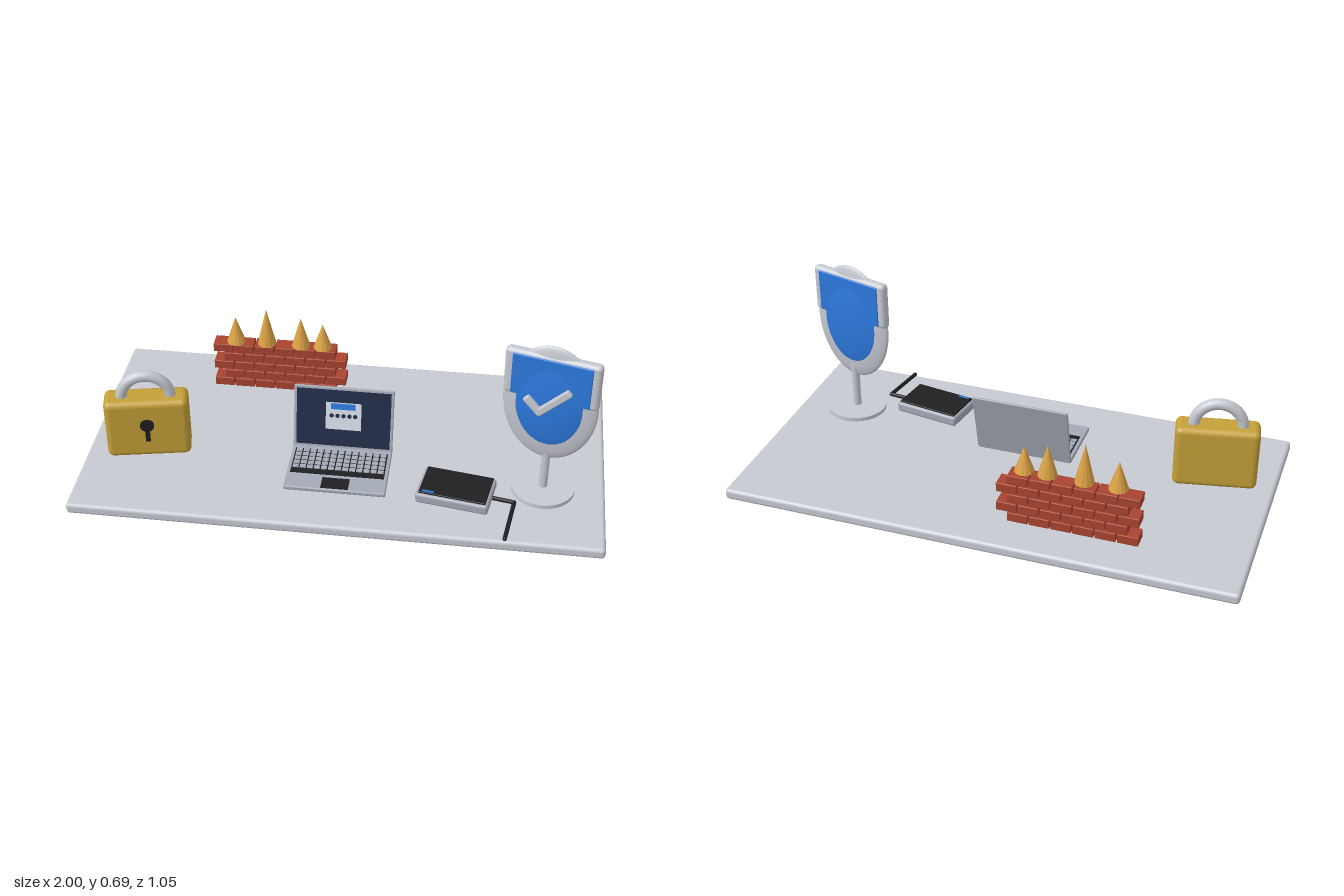
import * as THREE from 'three';
import { RoundedBoxGeometry } from 'three/addons/geometries/RoundedBoxGeometry.js';

const mat = (name, color, flatShading = false) => {
  const m = new THREE.MeshStandardMaterial({ color, flatShading });
  m.name = name;
  return m;
};

export function createModel() {
  const silver = mat('silver', 0xc6c9d1);
  const laptopGrey = mat('laptopGrey', 0xa3a9b6);
  const gold = mat('gold', 0xc5a038);
  const amber = mat('amber', 0xdba244, true);
  const brickRed = mat('brickRed', 0xa8432f);
  const black = mat('black', 0x1f1f21);
  const navy = mat('navy', 0x222c48);
  const blue = mat('blue', 0x2c78dc);
  const white = mat('paleWhite', 0xd3dbe6);

  const model = new THREE.Group();
  const group = (name, x, y, z, ry = 0) => {
    const g = new THREE.Group();
    g.name = name;
    g.position.set(x, y, z);
    g.rotation.y = ry;
    model.add(g);
    return g;
  };
  const add = (parent, name, geo, material, x = 0, y = 0, z = 0) => {
    const m = new THREE.Mesh(geo, material);
    m.name = name;
    m.position.set(x, y, z);
    parent.add(m);
    return m;
  };
  const box = (w, h, d) => new THREE.BoxGeometry(w, h, d);
  const round = (w, h, d, r) => new RoundedBoxGeometry(w, h, d, 3, r);
  const top = 0.045;

  // Base slab
  add(model, 'baseBoard', round(2, top, 1.05, 0.015), silver, 0, top / 2, 0);

  // Padlock
  const lock = group('padlock', -0.763, top, 0.147, 0.2);
  add(lock, 'lockBody', round(0.322, 0.255, 0.115, 0.024), gold, 0, 0.1275, 0);
  add(lock, 'shackle', new THREE.TorusGeometry(0.093, 0.022, 16, 32, Math.PI), silver, 0, 0.25, 0);
  const hole = add(lock, 'keyholeDisc', new THREE.CylinderGeometry(0.027, 0.027, 0.009, 24), black, 0, 0.152, 0.059);
  hole.rotation.x = Math.PI / 2;
  add(lock, 'keyholeSlot', box(0.018, 0.065, 0.009), black, 0, 0.11, 0.059);

  // Brick wall in running bond, without half bricks at the ends
  const wall = group('brickWall', -0.595, top, -0.334);
  const brick = round(0.08, 0.037, 0.066, 0.003);
  for (let row = 0; row < 5; row++) {
    for (let i = 0; i < 6; i++) {
      add(wall, 'brick', brick, brickRed, 0.04 + i * 0.0845 + (row % 2) * 0.0425, 0.0195 + row * 0.0413, 0);
    }
  }
  // Spikes on the wall
  for (const [x, h] of [[-0.503, 0.115], [-0.376, 0.162], [-0.236, 0.13], [-0.147, 0.108]]) {
    add(model, 'spike', new THREE.ConeGeometry(0.038, h, 12), amber, x, 0.255 + h / 2, -0.325);
  }

  // Laptop base
  const laptop = group('laptop', -0.013, top, 0);
  add(laptop, 'laptopBase', round(0.388, 0.018, 0.262, 0.006), laptopGrey, 0, 0.009, 0.204);
  add(laptop, 'keyboardPanel', box(0.36, 0.003, 0.15), black, 0, 0.0185, 0.174);
  const key = box(0.0225, 0.004, 0.019);
  for (let r = 0; r < 5; r++) {
    for (let c = 0; c < 13; c++) {
      add(laptop, 'key', key, laptopGrey, (c - 6) * 0.0273, 0.021, 0.112 + r * 0.0248);
    }
  }
  add(laptop, 'touchpad', box(0.105, 0.003, 0.062), black, 0, 0.018, 0.297);

  // Laptop lid, hinged at the back of the base
  const lid = new THREE.Group();
  lid.name = 'laptopLid';
  lid.position.set(0, 0.01, 0.075);
  lid.rotation.x = -0.224;
  laptop.add(lid);
  add(lid, 'lidShell', round(0.388, 0.262, 0.01, 0.004), laptopGrey, 0, 0.131, 0);
  add(lid, 'screen', box(0.366, 0.235, 0.003), navy, 0, 0.133, 0.005);
  add(lid, 'loginWindow', box(0.138, 0.113, 0.003), white, 0, 0.143, 0.007);
  add(lid, 'windowBar', box(0.094, 0.024, 0.003), blue, -0.002, 0.184, 0.009);
  for (let i = 0; i < 5; i++) {
    const dot = add(lid, 'passwordDot', new THREE.CylinderGeometry(0.0085, 0.0085, 0.003, 12), navy, (i - 2) * 0.023, 0.145, 0.009);
    dot.rotation.x = Math.PI / 2;
  }

  // External drive
  const drive = group('drive', 0.443, top, 0.284, -0.16);
  add(drive, 'driveCase', round(0.277, 0.043, 0.177, 0.012), laptopGrey, 0, 0.0235, 0);
  add(drive, 'driveCover', round(0.255, 0.008, 0.157, 0.003), black, 0, 0.047, 0);
  add(drive, 'driveLight', box(0.045, 0.003, 0.01), blue, -0.093, 0.051, 0.068);

  // Cable, in two straight runs
  const path = [[0.575, 0.063, 0.303], [0.662, 0.06, 0.316], [0.635, 0.053, 0.515]].map(p => new THREE.Vector3(...p));
  for (let i = 0; i < 2; i++) {
    const run = new THREE.LineCurve3(path[i], path[i + 1]);
    add(model, 'cable', new THREE.TubeGeometry(run, 1, 0.008, 10), black);
  }
  for (const p of path) add(model, 'cableJoint', new THREE.SphereGeometry(0.008, 10, 8), black, p.x, p.y, p.z);

  // Shield stand
  add(model, 'standFoot', new THREE.CylinderGeometry(0.12, 0.12, 0.016, 48), silver, 0.766, top + 0.008, 0.202);
  add(model, 'standPost', new THREE.CylinderGeometry(0.016, 0.016, 0.2, 24), silver, 0.766, 0.155, 0.202);

  // Shield: two flattened ellipsoids with a framed panel across the upper half
  const shield = group('shield', 0.763, 0.449, 0.206, -0.26);
  const ball = new THREE.SphereGeometry(1, 48, 32);
  add(shield, 'shieldBody', ball, silver).scale.set(0.178, 0.246, 0.03);
  add(shield, 'shieldField', ball, blue).scale.set(0.155, 0.214, 0.036);
  add(shield, 'shieldFrame', round(0.356, 0.195, 0.042, 0.018), silver, 0, 0.113, 0);
  add(shield, 'shieldPanel', round(0.296, 0.172, 0.05, 0.004), blue, 0, 0.111, 0);

  // Check mark
  const stroke = (x0, y0, x1, y1) => {
    const len = Math.hypot(x1 - x0, y1 - y0) + 0.02;
    const s = add(shield, 'checkStroke', round(len, 0.028, 0.022, 0.006), silver, (x0 + x1) / 2, (y0 + y1) / 2, 0.04);
    s.rotation.z = Math.atan2(y1 - y0, x1 - x0);
  };
  stroke(-0.077, 0.026, -0.03, -0.02);
  stroke(-0.03, -0.02, 0.07, 0.084);

  return model;
}
